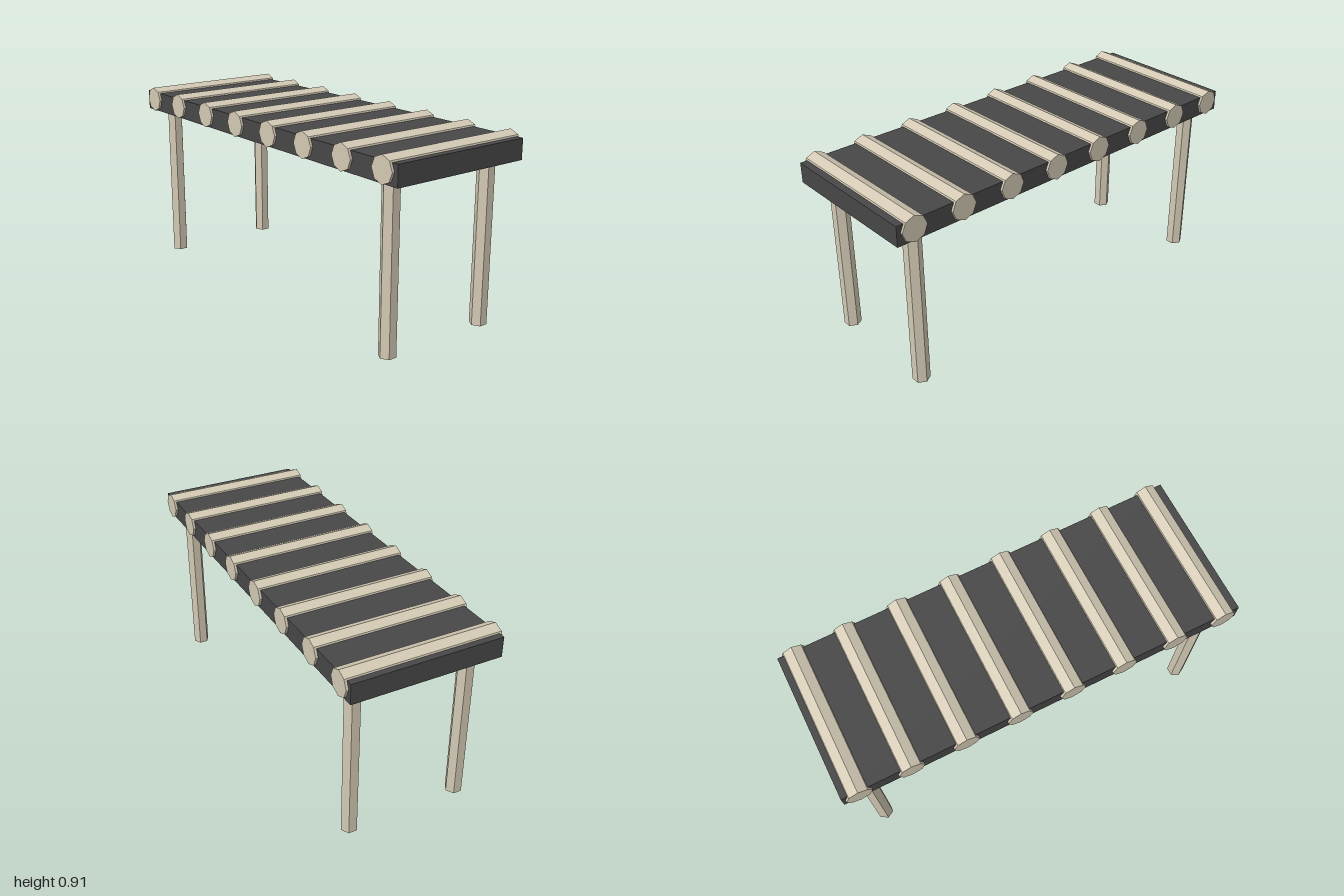
import * as THREE from 'three';

export function createModel() {
  const group = new THREE.Group();
  const wood = new THREE.MeshStandardMaterial({ color: 0xd3c9b4 });
  wood.name = 'pale wood';
  wood.flatShading = true;
  const dark = new THREE.MeshStandardMaterial({ color: 0x474747 });
  dark.name = 'charcoal';

  const add = (name, geometry, material, x, y, z) => {
    const mesh = new THREE.Mesh(geometry, material);
    mesh.name = name;
    mesh.position.set(x, y, z);
    group.add(mesh);
  };

  // Flat slab
  add('deck', new THREE.BoxGeometry(2, 0.098, 0.727), dark, 0, 0.838, 0);

  // Eight octagonal logs lying across the slab, with a corner on top
  const log = new THREE.CylinderGeometry(0.0625, 0.0625, 0.75, 8).rotateX(Math.PI / 2);
  [-0.922, -0.67, -0.402, -0.135, 0.132, 0.398, 0.664, 0.918].forEach((x, i) =>
    add(`log${i + 1}`, log, wood, x, 0.85, 0));

  // Four hexagonal legs, with corners facing front and back
  const leg = new THREE.CylinderGeometry(0.041, 0.041, 0.8, 6);
  for (const sx of [1, -1]) {
    for (const sz of [1, -1]) {
      const name = (sz > 0 ? 'front' : 'back') + (sx > 0 ? 'Left' : 'Right') + 'Leg';
      add(name, leg, wood, sx * 0.872, 0.4, sz * 0.28);
    }
  }
  return group;
}
